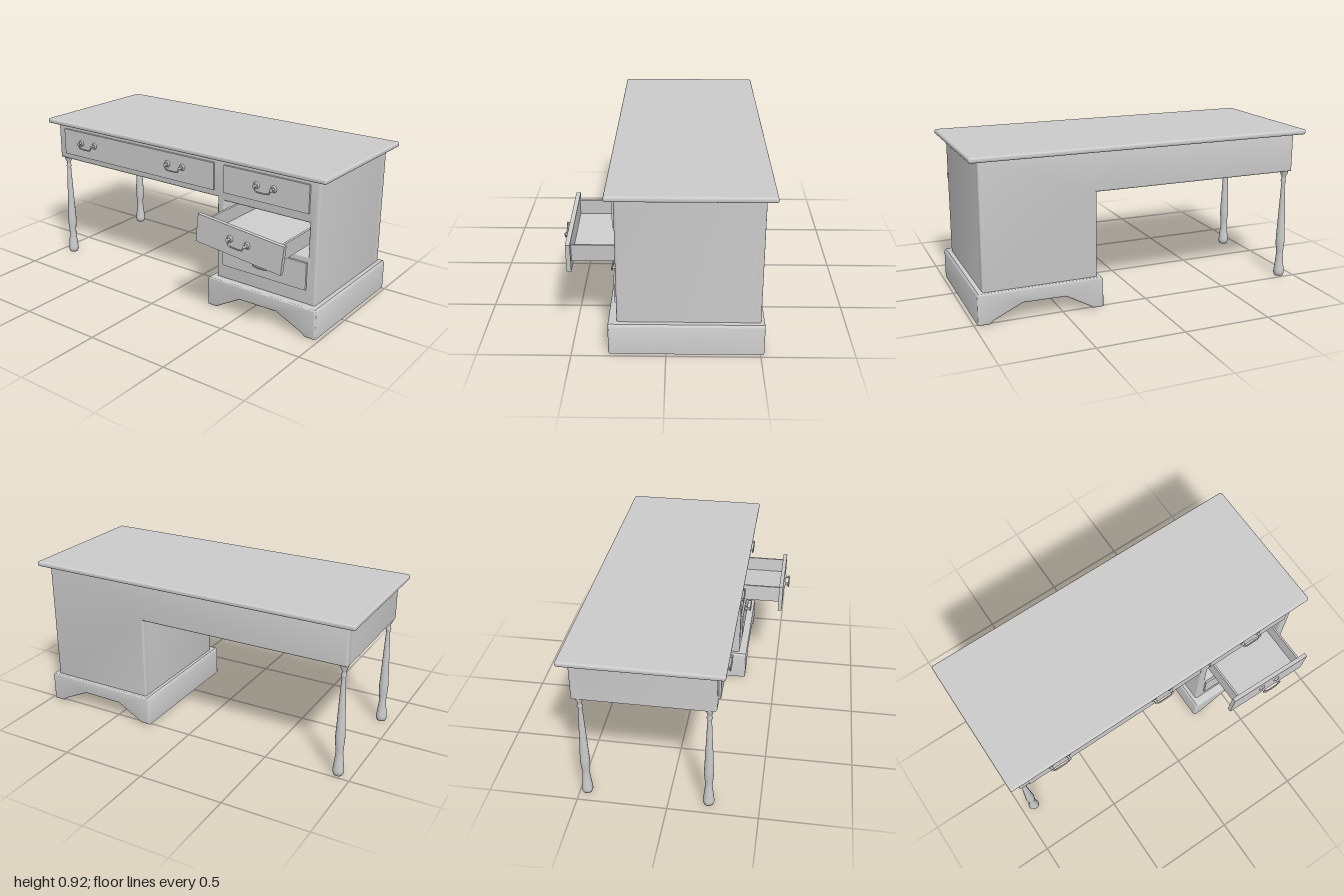
import * as THREE from 'three';
import { toCreasedNormals } from 'three/addons/utils/BufferGeometryUtils.js';
import { RoundedBoxGeometry } from 'three/addons/geometries/RoundedBoxGeometry.js';

const grey = new THREE.MeshStandardMaterial({ color: 0xcccccc });

function add(parent, name, geometry, x = 0, y = 0, z = 0) {
  const mesh = new THREE.Mesh(geometry, grey);
  mesh.name = name;
  mesh.position.set(x, y, z);
  parent.add(mesh);
  return mesh;
}

const box = (w, h, d) => new THREE.BoxGeometry(w, h, d);
const toPoints = (list) => list.map(([x, y]) => new THREE.Vector2(x, y));

// Front outline pushed along z between two planes, with softened edges
function extrudeZ(outline, z0, z1, bevel, hole) {
  const shape = new THREE.Shape(toPoints(outline));
  if (hole) shape.holes.push(new THREE.Path(toPoints(hole)));
  const geometry = new THREE.ExtrudeGeometry(shape, {
    depth: z1 - z0 - 2 * bevel, bevelEnabled: bevel > 0, bevelThickness: bevel,
    bevelSize: bevel, bevelOffset: -bevel, bevelSegments: 3,
  });
  geometry.translate(0, 0, z0 + bevel);
  return toCreasedNormals(geometry, 0.7);
}

// Swan-neck pull: two round rosettes with stems and a drooping bail
function makeHandle() {
  const handle = new THREE.Group();
  handle.name = 'handle';
  for (const side of [-1, 1]) {
    const x = side * 0.055;
    const rosette = new THREE.CylinderGeometry(0.014, 0.02, 0.008, 16).rotateX(Math.PI / 2);
    const stem = new THREE.CylinderGeometry(0.007, 0.007, 0.026, 12).rotateX(Math.PI / 2);
    const knob = new THREE.SphereGeometry(0.01, 12, 8).scale(1, 1, 0.6);
    add(handle, 'rosette', rosette, x, 0, 0.004);
    add(handle, 'stem', stem, x, 0, 0.014);
    add(handle, 'knob', knob, x, 0, 0.027);
  }
  const path = new THREE.CatmullRomCurve3([
    [-0.055, 0], [-0.05, -0.008], [-0.043, -0.022], [-0.03, -0.026],
    [0.03, -0.026], [0.043, -0.022], [0.05, -0.008], [0.055, 0],
  ].map(([x, y]) => new THREE.Vector3(x, y, 0.028)));
  add(handle, 'bail', new THREE.TubeGeometry(path, 32, 0.0045, 8));
  return handle;
}

// Drawer front plate with its handles
function makeDrawerFront(name, width, height, thickness, handleXs) {
  const drawer = new THREE.Group();
  drawer.name = name;
  add(drawer, 'drawerFront', box(width, height, thickness), 0, 0, thickness / 2);
  for (const x of handleXs) {
    const handle = makeHandle();
    handle.position.set(x, 0.01, thickness);
    drawer.add(handle);
  }
  return drawer;
}

export function createModel() {
  const desk = new THREE.Group();
  desk.name = 'desk';

  // Desktop with a rounded rim
  add(desk, 'desktop', new RoundedBoxGeometry(2, 0.03, 0.855, 3, 0.012), 0, 0.903, -0.1225);

  // L-shaped body: long apron plus the drawer cabinet, with one open drawer bay
  const outline = [
    [-0.95, 0.66], [0.295, 0.66], [0.295, 0.17], [0.945, 0.17], [0.945, 0.89], [-0.95, 0.89],
  ];
  const bay = [[0.345, 0.455], [0.345, 0.645], [0.89, 0.645], [0.89, 0.455]];
  add(desk, 'body', extrudeZ(outline, -0.48, 0.26, 0.014, bay));
  add(desk, 'backPanel', extrudeZ(outline, -0.5, -0.44, 0.012));

  // Bracket plinth, its arch running from front to back
  add(desk, 'plinth', extrudeZ([
    [0.265, 0], [0.325, 0], [0.36, 0.022], [0.485, 0.092], [0.73, 0.095],
    [0.885, 0.022], [0.915, 0], [0.98, 0], [0.98, 0.165], [0.97, 0.177],
    [0.275, 0.177], [0.265, 0.165],
  ], -0.52, 0.305, 0.01));

  // Turned legs
  const profile = toPoints([
    [0, 0], [0.026, 0], [0.032, 0.018], [0.031, 0.035], [0.025, 0.085], [0.021, 0.13],
    [0.022, 0.16], [0.026, 0.2], [0.027, 0.235], [0.023, 0.32], [0.018, 0.44], [0.012, 0.575],
    [0.012, 0.588], [0.017, 0.597], [0.012, 0.608], [0.013, 0.625], [0.024, 0.648], [0.025, 0.67],
  ]);
  for (const [name, z] of [['frontLeg', 0.22], ['backLeg', -0.46]]) {
    add(desk, name, new THREE.LatheGeometry(profile, 16), -0.922, 0, z);
  }

  // Closed drawers
  const wide = makeDrawerFront('wideDrawer', 1.165, 0.16, 0.012, [-0.383, 0.307]);
  wide.position.set(-0.307, 0.78, 0.26);
  const upper = makeDrawerFront('upperDrawer', 0.545, 0.16, 0.012, [0]);
  upper.position.set(0.617, 0.78, 0.26);
  const lower = makeDrawerFront('lowerDrawer', 0.545, 0.16, 0.012, [0]);
  lower.position.set(0.617, 0.34, 0.26);

  // Middle drawer: pulled out and hanging askew, with an open tray behind its front
  const open = makeDrawerFront('openDrawer', 0.545, 0.163, 0.024, [0]);
  open.position.set(0.617, 0.545, 0.491);
  open.rotation.z = -0.1;
  const [width, height, depth, wall] = [0.468, 0.098, 0.6, 0.012];
  const y = 0.01;
  add(open, 'trayBottom', box(width, wall, depth), 0, y - height / 2 + wall / 2, -depth / 2);
  for (const side of [-1, 1]) {
    add(open, 'traySide', box(wall, height, depth), side * (width - wall) / 2, y, -depth / 2);
  }
  add(open, 'trayBack', box(width, height, wall), 0, y, -depth + wall / 2);

  desk.add(wide, upper, lower, open);
  return desk;
}
